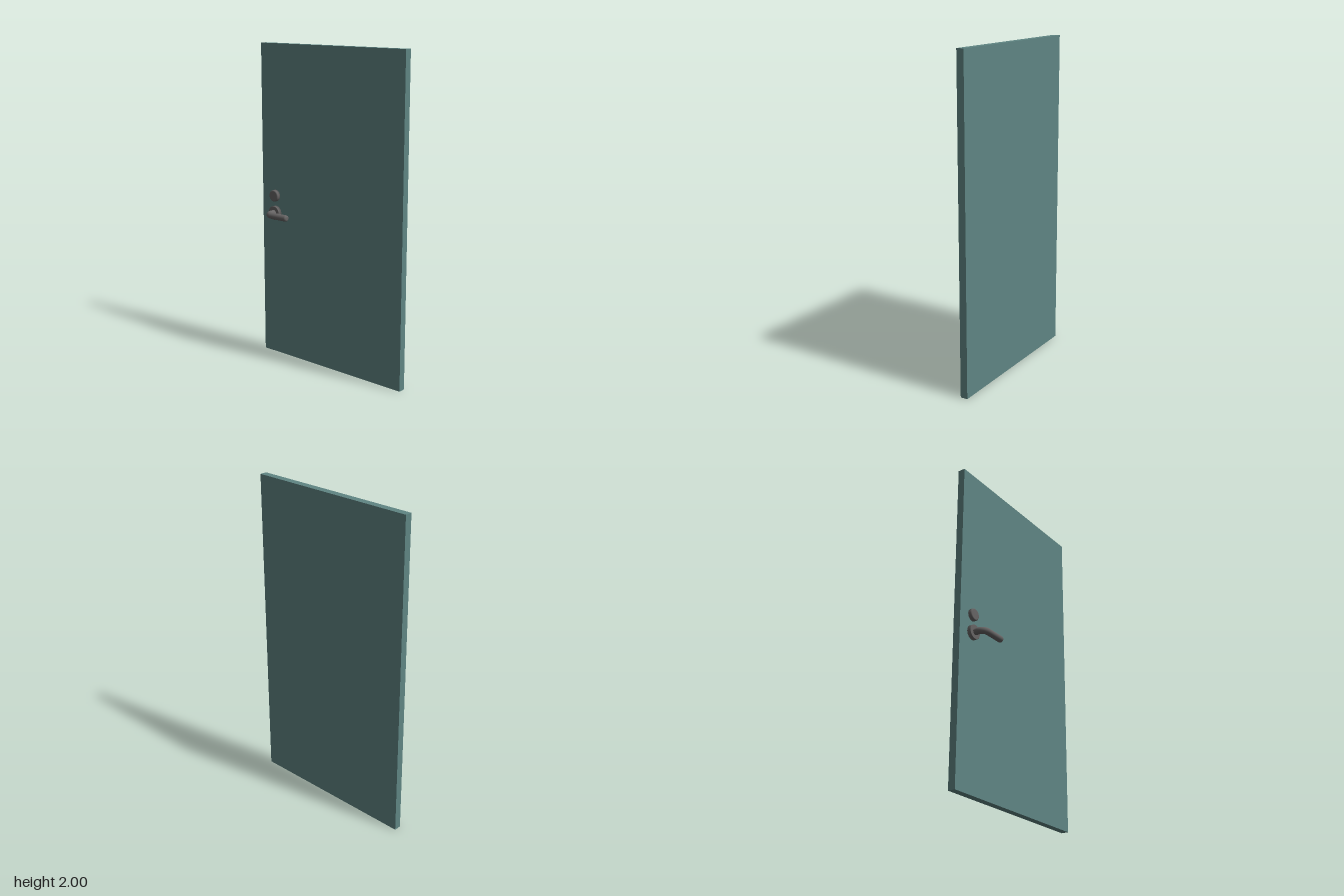
import * as THREE from 'three';

const DOOR_FRONT = -0.03;

function addMesh(parent, name, geometry, material) {
  const mesh = new THREE.Mesh(geometry, material);
  mesh.name = name;
  parent.add(mesh);
  return mesh;
}

// Round plate with a softened front rim, lying on the door face
function plateGeometry(radius, depth, rim) {
  const points = [new THREE.Vector2(0, 0), new THREE.Vector2(radius, 0)];
  for (let i = 0; i <= 4; i++) {
    const a = (i / 4) * Math.PI / 2;
    points.push(new THREE.Vector2(radius - rim + rim * Math.cos(a), depth - rim + rim * Math.sin(a)));
  }
  points.push(new THREE.Vector2(0, depth));
  return new THREE.LatheGeometry(points, 40).rotateX(Math.PI / 2);
}

export function createModel() {
  const model = new THREE.Group();
  model.name = 'door';
  const paint = new THREE.MeshStandardMaterial({ color: 0x5f8583 });
  const metal = new THREE.MeshStandardMaterial({ color: 0x666464 });

  // Door leaf
  addMesh(model, 'doorPanel', new THREE.BoxGeometry(1.1, 2, 0.045), paint)
    .position.set(0, 1, DOOR_FRONT - 0.0225);

  // Lock plate above the handle
  addMesh(model, 'lockPlate', plateGeometry(0.037, 0.024, 0.008), metal)
    .position.set(-0.44, 1.05, DOOR_FRONT);

  // Lever handle on its rose
  const handle = new THREE.Group();
  handle.name = 'handle';
  handle.position.set(-0.438, 0.94, DOOR_FRONT);
  model.add(handle);
  addMesh(handle, 'rose', plateGeometry(0.044, 0.024, 0.002), metal);

  const r = 0.02, bend = 0.038, reach = 0.083, tip = 0.161, round = 0.012;
  const neck = new THREE.CylinderGeometry(r, r, reach - bend, 24, 1, true).rotateX(Math.PI / 2);
  addMesh(handle, 'leverNeck', neck, metal).position.z = (reach - bend) / 2;

  // Quarter turn from the neck into the grip
  const elbow = new THREE.TorusGeometry(bend, r, 24, 16, Math.PI / 2).rotateZ(Math.PI / 2).rotateX(Math.PI / 2);
  addMesh(handle, 'leverElbow', elbow, metal).position.set(bend, 0, reach - bend);

  // Straight grip with a rounded end
  const profile = [new THREE.Vector2(r, bend)];
  for (let i = 0; i <= 6; i++) {
    const a = (i / 6) * Math.PI / 2;
    profile.push(new THREE.Vector2(r - round + round * Math.cos(a), tip + round * (Math.sin(a) - 0.2)));
  }
  profile.push(new THREE.Vector2(0, tip + round * 0.8));
  const grip = new THREE.LatheGeometry(profile, 24).rotateZ(-Math.PI / 2);
  addMesh(handle, 'leverGrip', grip, metal).position.z = reach;

  return model;
}
